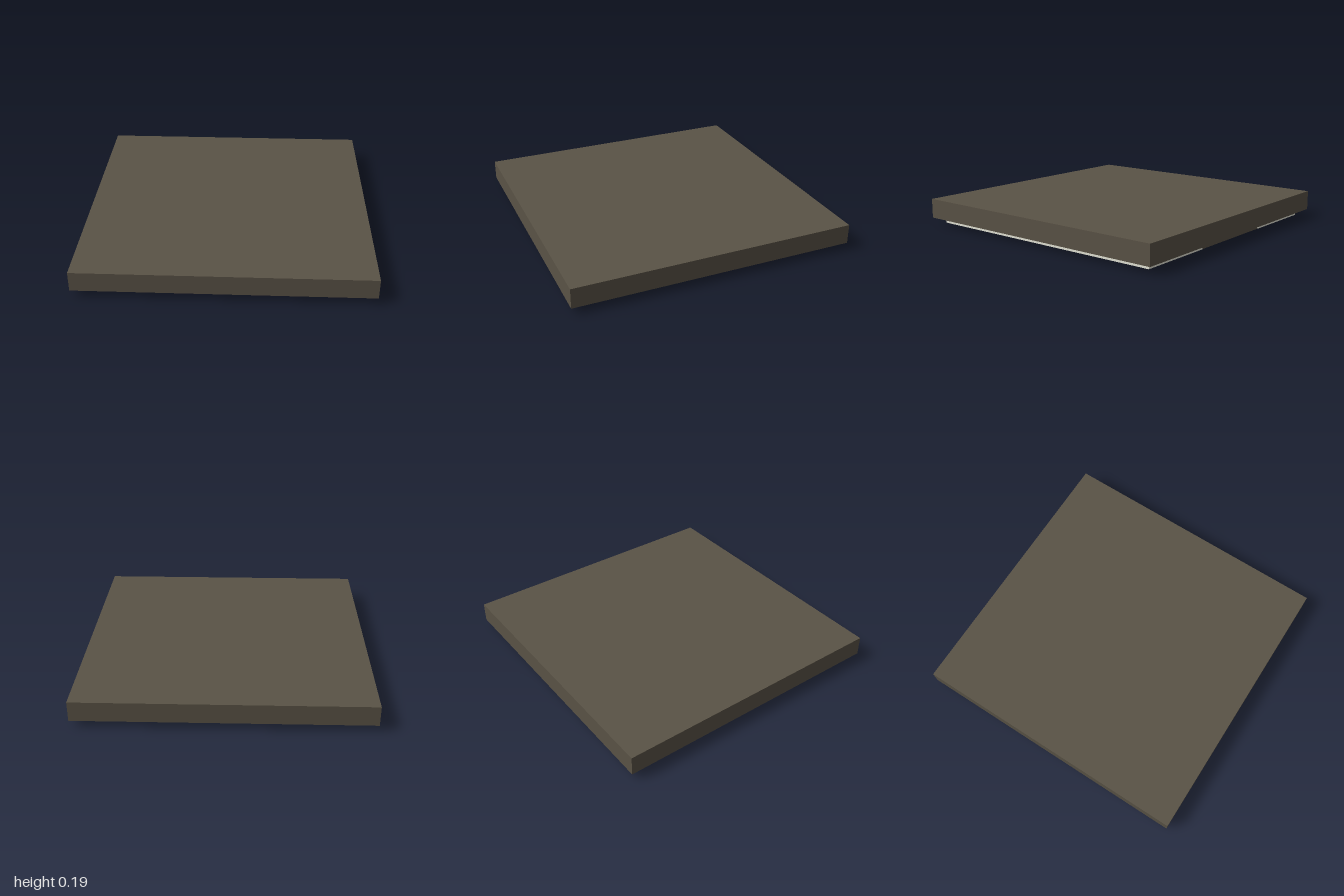
import * as THREE from 'three';
import { mergeGeometries } from 'three/addons/utils/BufferGeometryUtils.js';

const material = (color) => new THREE.MeshStandardMaterial({ color });
const brown = material(0x5a5346);
const cream = material(0xe4e4d6);
const grey = material(0xcccccc);
const slate = material(0x9c9ca8);
const slateDark = material(0x84848f);

function add(parent, name, geometry, mat, x, y, z) {
  const mesh = new THREE.Mesh(geometry, mat);
  mesh.name = name;
  mesh.position.set(x, y, z);
  parent.add(mesh);
  return mesh;
}

// Pointed petal lying flat and facing down, from radius r0 to r1 at an angle
// measured from +x towards +z
function petal(angle, r0, r1, width, cx = 0, cz = 0) {
  const mid = r0 + (r1 - r0) * 0.6;
  const s = new THREE.Shape();
  s.moveTo(r0, 0);
  s.quadraticCurveTo(mid, -width, r1, 0);
  s.quadraticCurveTo(mid, width, r0, 0);
  return new THREE.ShapeGeometry(s, 8).rotateZ(angle).rotateX(Math.PI / 2).translate(cx, 0, cz);
}

// Curved petal: a crescent that follows a circle around the flower's heart
function crescent(angle, radius, thickness, spread) {
  const at = (r, a) => [r * Math.cos(angle + a), r * Math.sin(angle + a)];
  const s = new THREE.Shape();
  const steps = 10;
  s.moveTo(...at(radius, -spread));
  for (let i = 1; i <= steps; i++) {
    const t = i / steps;
    s.lineTo(...at(radius + thickness * Math.sin(Math.PI * t), spread * (2 * t - 1)));
  }
  for (let i = steps - 1; i > 0; i--) {
    const t = i / steps;
    s.lineTo(...at(radius - thickness * 0.25 * Math.sin(Math.PI * t), spread * (2 * t - 1)));
  }
  return new THREE.ShapeGeometry(s).rotateX(Math.PI / 2);
}

function downDisc(radius) {
  return new THREE.CircleGeometry(radius, 20).rotateX(Math.PI / 2);
}

// Large blossom: rings of crescents, a fringe of spikes and a few leaves
function blossomGeometry() {
  const parts = [downDisc(0.022)];
  const rings = [[0.04, 0.022, 3], [0.08, 0.03, 5], [0.125, 0.034, 7], [0.172, 0.036, 9]];
  rings.forEach(([radius, thickness, count], ring) => {
    for (let i = 0; i < count; i++) {
      const angle = (i / count) * Math.PI * 2 + ring * 0.5;
      parts.push(crescent(angle, radius, thickness, (Math.PI / count) * 0.88));
    }
  });
  for (let i = 0; i < 9; i++) {
    parts.push(petal(-1.85 + i * 0.17, 0.235, 0.325 - 0.004 * Math.abs(i - 4), 0.022));
  }
  for (const angle of [-2.65, -2.3, -2.0]) parts.push(petal(angle, 0.22, 0.34, 0.055));
  for (const angle of [0.2, 0.55, 0.9]) parts.push(petal(angle, 0.2, 0.25, 0.05));
  return mergeGeometries(parts);
}

// Small blossom: two alternating rounds of narrow petals
function daisyGeometry() {
  const parts = [downDisc(0.018)];
  for (let i = 0; i < 14; i++) {
    const angle = (i / 14) * Math.PI * 2;
    parts.push(petal(angle, 0.045, i % 2 ? 0.105 : 0.135, 0.026));
  }
  return mergeGeometries(parts);
}

// Round lamp with a ring and a rosette on its underside
function lamp(name) {
  const group = new THREE.Group();
  group.name = name;
  add(group, 'lampDisc', new THREE.CylinderGeometry(0.07, 0.07, 0.007, 32), slate, 0, 0.0045, 0);
  const ring = new THREE.RingGeometry(0.054, 0.062, 32).rotateX(Math.PI / 2);
  add(group, 'lampRing', ring, slateDark, 0, 0, 0);
  const petals = [];
  for (let i = 0; i < 8; i++) petals.push(petal((i / 8) * Math.PI * 2, 0.012, 0.05, 0.016));
  add(group, 'lampRosette', mergeGeometries(petals), slateDark, 0, 0, 0);
  return group;
}

export function createModel() {
  const model = new THREE.Group();
  model.name = 'ceilingPanel';

  // Main slab
  add(model, 'slab', new THREE.BoxGeometry(2, 0.14, 2), brown, 0, 0.12, 0);

  // Underside: a dark centre strip between two pale panels
  add(model, 'centreStrip', new THREE.BoxGeometry(0.704, 0.042, 1.87), brown, 0, 0.029, 0);
  for (const side of [1, -1]) {
    const name = side > 0 ? 'leftPanel' : 'rightPanel';
    add(model, name, new THREE.BoxGeometry(0.568, 0.042, 1.876), cream, side * 0.644, 0.029, 0);

    // A pair of lamps at diagonally opposite ends
    for (const z of [0.63, 0.81]) {
      const spot = lamp(side > 0 ? 'leftLamp' : 'rightLamp');
      spot.position.set(side * 0.66, 0, side * z);
      model.add(spot);
    }
  }

  // Floral inlays on the centre strip
  add(model, 'largeBlossom', blossomGeometry(), grey, 0.1, 0.005, -0.61);
  add(model, 'smallBlossom', daisyGeometry(), grey, -0.19, 0.005, 0.79);

  return model;
}
